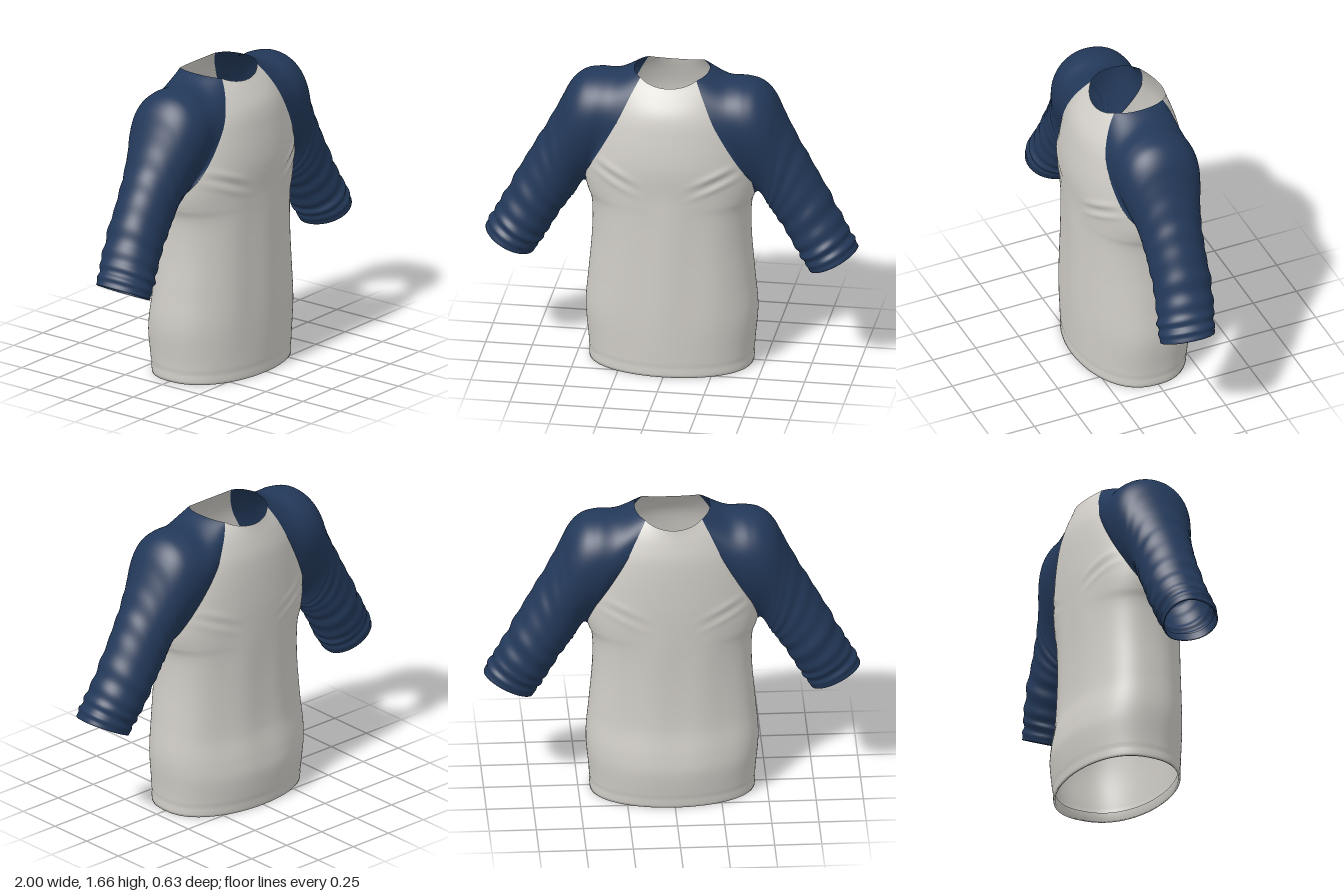
import * as THREE from 'three';
import { mergeGeometries, mergeVertices } from 'three/addons/utils/BufferGeometryUtils.js';

const UNDERARM = 0.98, NECK = 1.65;
const { lerp, smoothstep } = THREE.MathUtils;

// Smooth curve through [y, value] pairs
function profile(pts) {
  const slope = (i) => {
    const a = pts[Math.max(0, i - 1)], b = pts[Math.min(pts.length - 1, i + 1)];
    return (b[1] - a[1]) / (b[0] - a[0]);
  };
  return (y) => {
    let i = 0;
    while (i < pts.length - 2 && y > pts[i + 1][0]) i++;
    const [y0, v0] = pts[i], [y1, v1] = pts[i + 1], h = y1 - y0;
    const t = (y - y0) / h, t2 = t * t, t3 = t2 * t;
    return v0 * (2 * t3 - 3 * t2 + 1) + v1 * (3 * t2 - 2 * t3)
      + h * (slope(i) * (t3 - 2 * t2 + t) + slope(i + 1) * (t3 - t2));
  };
}

// Body half-width, front depth, back depth and raglan seam position by height
const halfWidth = profile([[0, 0.438], [0.1, 0.442], [0.3, 0.458], [0.5, 0.442], [0.7, 0.425], [0.85, 0.422],
  [0.93, 0.43], [0.98, 0.45], [1.07, 0.465], [1.2, 0.46], [1.43, 0.4], [1.55, 0.32], [1.65, 0.2]]);
const frontDepth = profile([[0, 0.308], [0.3, 0.312], [0.7, 0.308], [1, 0.308], [1.2, 0.315], [1.4, 0.288],
  [1.5, 0.26], [1.6, 0.212], [1.65, 0.18]]);
const backDepth = profile([[0, 0.29], [0.2, 0.312], [0.3, 0.302], [0.45, 0.276], [0.7, 0.268], [1, 0.275],
  [1.2, 0.278], [1.42, 0.268], [1.55, 0.243], [1.65, 0.218]]);
const seamX = profile([[0.98, 0.45], [1.07, 0.446], [1.12, 0.425], [1.28, 0.338], [1.43, 0.258], [1.55, 0.202], [1.65, 0.15]]);

const seamAngle = (y) => (y <= UNDERARM + 1e-6 ? Math.PI / 2 : Math.asin(Math.min(1, seamX(y) / halfWidth(y))));

// Point on the body: a is the angle away from the centre line, dir is 1 for front and -1 for back
function bodyPoint(y, a, dir) {
  const depth = dir > 0 ? frontDepth(y) : backDepth(y);
  return new THREE.Vector3(
    halfWidth(y) * Math.sin(a) * dir, y, dir * depth * Math.pow(Math.max(0, Math.cos(a)), 0.85));
}

// Cloth folds: pulls running from the armpits plus soft vertical drape
function folds(x, y, dir) {
  const ax = Math.abs(x), d = y - 1.05 - 0.42 * ax;
  const ridge = (c, s) => Math.exp(-(((d - c) / s) ** 2));
  const pull = (ridge(0, 0.02) + 0.7 * ridge(-0.075, 0.018) - 0.5 * ridge(-0.04, 0.02)) * smoothstep(ax, 0.08, 0.3);
  const drape = Math.sin(x * 24 + dir) * smoothstep(y, 0.05, 0.5) * (1 - smoothstep(y, 0.8, 1.1));
  return (dir > 0 ? 0.011 : 0.006) * pull + 0.003 * drape;
}

// Surface through rows of points
function loft(rows, flip = false) {
  const n = rows[0].length, index = [];
  for (let i = 0; i < rows.length - 1; i++) {
    for (let j = 0; j < n - 1; j++) {
      const a = i * n + j, b = a + 1, c = b + n, d = a + n;
      if (flip) index.push(a, c, b, a, d, c);
      else index.push(a, b, c, a, c, d);
    }
  }
  const g = new THREE.BufferGeometry().setFromPoints(rows.flat());
  g.setIndex(index);
  return g;
}

function smooth(g) {
  const merged = mergeVertices(g, 1e-5);
  merged.computeVertexNormals();
  return merged;
}

// Front or back panel, with a turned-in hem at the bottom
function panel(dir) {
  const heights = [[0.05, 0.965], [0.003, 0.965]]; // height, inward scale
  for (let i = 0; i <= 70; i++) heights.push([UNDERARM * i / 70, 1]);
  for (let i = 1; i <= 60; i++) heights.push([lerp(UNDERARM, NECK, i / 60), 1]);
  return loft(heights.map(([y, scale]) => {
    const row = [], A = seamAngle(y);
    for (let j = 0; j <= 64; j++) {
      const u = j / 32 - 1;
      const p = bodyPoint(y, u * A, dir);
      p.z += dir * folds(p.x, y, dir) * (1 - u ** 4);
      // hem stitching groove and dipped neckline
      const groove = 1 - 0.009 * Math.exp(-(((y - 0.05) / 0.009) ** 2));
      p.x *= scale * groove;
      p.z *= scale * groove;
      p.y -= 0.034 * smoothstep(y, 1.45, NECK) * (1 - u * u);
      row.push(p);
    }
    return row;
  }));
}

// Sleeve sections: top x, top y, bottom x, bottom y, front depth, back depth, egg shape
const sections = [
  [0.28, 1.628, 0.465, 0.984, 0.205, 0.215, 0.35],
  [0.39, 1.624, 0.475, 0.982, 0.208, 0.218, 0.32],
  [0.475, 1.605, 0.488, 0.965, 0.2, 0.212, 0.28],
  [0.545, 1.54, 0.5, 0.945, 0.185, 0.198, 0.22],
  [0.61, 1.41, 0.513, 0.92, 0.167, 0.18, 0.14],
  [0.69, 1.26, 0.53, 0.895, 0.155, 0.168, 0.06],
  [0.77, 1.12, 0.558, 0.855, 0.15, 0.162, 0],
  [0.85, 0.97, 0.605, 0.785, 0.15, 0.16, 0],
  [0.92, 0.835, 0.665, 0.68, 0.162, 0.148, 0],
  [0.965, 0.755, 0.702, 0.62, 0.174, 0.13, 0],
  [0.998, 0.69, 0.737, 0.56, 0.176, 0.12, 0],
];

// First sleeve ring: follows the neck edge, then the raglan seam
function seamPoint(phi) {
  const dir = Math.sin(phi) >= 0 ? 1 : -1;
  const c = (1 - Math.cos(phi)) / 2, c0 = 0.05;
  let p;
  if (c < c0) {
    const t = Math.sqrt(c / c0);
    p = bodyPoint(NECK, lerp(Math.PI / 2, seamAngle(NECK), t), dir);
    p.y += 0.012 * (1 - t * t);
  } else {
    const y = lerp(NECK, UNDERARM, (c - c0) / (1 - c0));
    p = bodyPoint(y, seamAngle(y), dir);
  }
  p.x = Math.abs(p.x);
  return p;
}

function sectionPoint([tx, ty, bx, by, front, back, egg], phi) {
  const c = (1 - Math.cos(phi)) / 2, s = Math.sin(phi);
  return new THREE.Vector3(lerp(tx, bx, c), lerp(ty, by, c), (s >= 0 ? front : back) * s * (1 + egg * Math.cos(phi)));
}

function sleeve(side) {
  const M = 96, N = 110, columns = [];
  for (let j = 0; j <= M; j++) {
    const phi = (j % M) / M * Math.PI * 2;
    const keys = [seamPoint(phi), ...sections.map((s) => sectionPoint(s, phi))];
    columns.push(new THREE.CatmullRomCurve3(keys, false, 'catmullrom', 0.5));
  }
  const rows = [];
  for (let i = 0; i <= N; i++) {
    const t = i / N, row = columns.map((c) => c.getPoint(t));
    const mid = row[0].clone().add(row[M / 2]).multiplyScalar(0.5);
    // bunched creases, stronger towards the cuff
    const amp = 0.012 * smoothstep(t, 0.35, 0.55) + 0.016 * smoothstep(t, 0.65, 0.8);
    const fade = 1 - smoothstep(t, 0.94, 1);
    row.forEach((p, j) => {
      const phi = j / M * Math.PI * 2;
      const wave = Math.sin(t * 88 + 1.3 * Math.sin(phi + 1)) + 0.5 * Math.sin(t * 53 + 2 * Math.cos(phi));
      p.sub(mid).multiplyScalar(1 + amp * fade * wave).add(mid);
    });
    rows.push(row);
  }
  // turned-in cuff
  const last = rows[N], mid = last[0].clone().add(last[M / 2]).multiplyScalar(0.5);
  const inner = last.map((p) => p.clone().sub(mid).multiplyScalar(0.94).add(mid));
  rows.push(inner, inner.map((p) => p.clone().add(new THREE.Vector3(-0.025, 0.045, 0))));
  rows.flat().forEach((p) => { p.x *= side; });
  return smooth(loft(rows, side < 0));
}

export function createModel() {
  const white = new THREE.MeshStandardMaterial({ color: 0xd0cdc7, side: THREE.DoubleSide });
  white.name = 'off-white cloth';
  const navy = new THREE.MeshStandardMaterial({ color: 0x23395a, side: THREE.DoubleSide });
  navy.name = 'navy cloth';

  const model = new THREE.Group();
  model.name = 'raglanShirt';
  const add = (name, geometry, material) => {
    const mesh = new THREE.Mesh(geometry, material);
    mesh.name = name;
    model.add(mesh);
  };
  add('body', smooth(mergeGeometries([panel(1), panel(-1)])), white);
  add('leftSleeve', sleeve(1), navy);
  add('rightSleeve', sleeve(-1), navy);
  return model;
}
